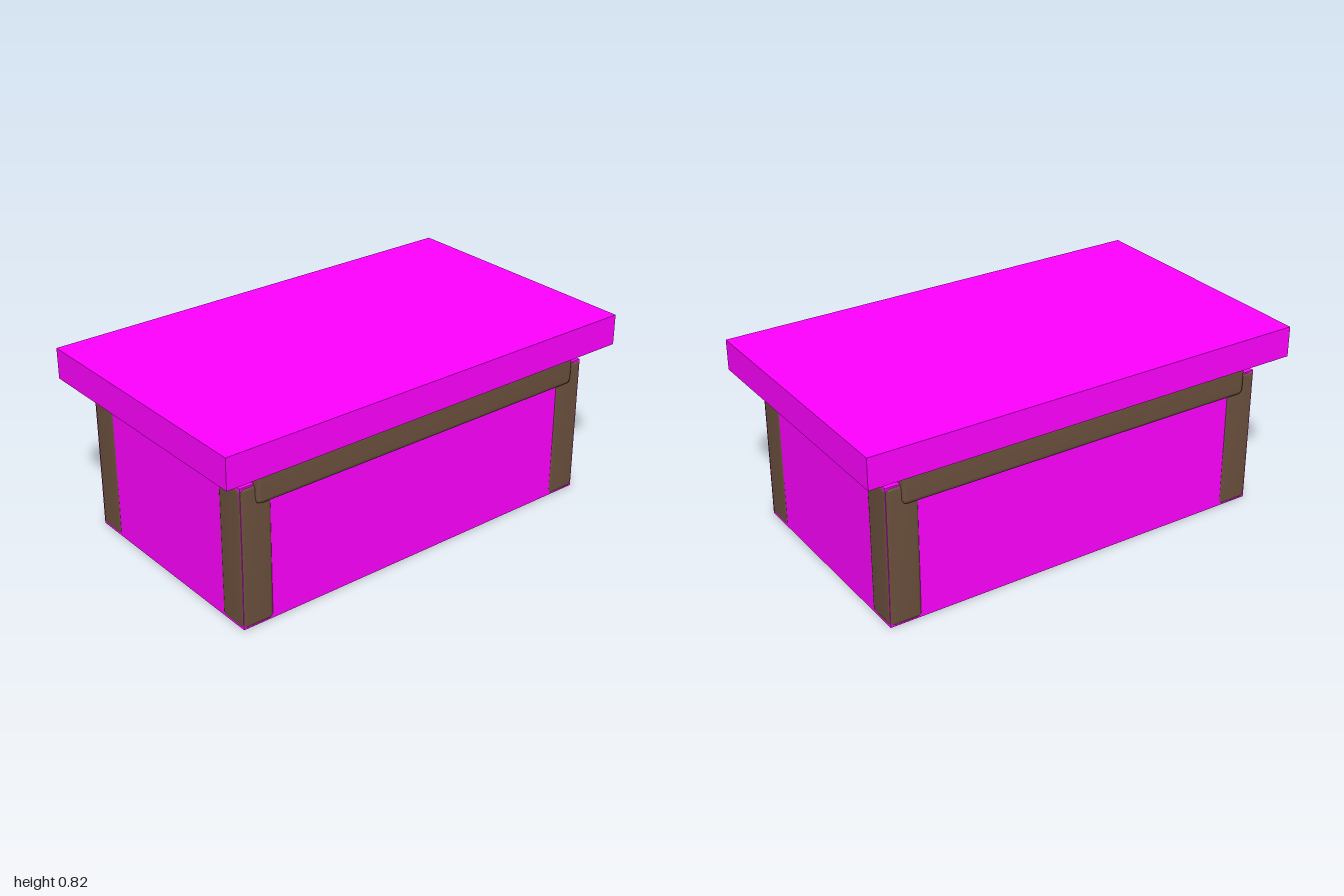
import * as THREE from 'three';
import { RoundedBoxGeometry } from 'three/addons/geometries/RoundedBoxGeometry.js';
import { mergeVertices } from 'three/addons/utils/BufferGeometryUtils.js';

const wood = new THREE.MeshStandardMaterial({ color: 0x6b503d });
const magenta = new THREE.MeshStandardMaterial({ color: 0xff00ff });

// Beveled timber with normals blended softly across its edges
function timberGeometry(w, h, d, bevel) {
  const source = new RoundedBoxGeometry(w, h, d, 1, bevel);
  source.deleteAttribute('normal');
  source.deleteAttribute('uv');
  const geometry = mergeVertices(source, 1e-4);
  geometry.computeVertexNormals();
  return geometry;
}

export function createModel() {
  const group = new THREE.Group();

  const add = (name, geometry, material, x, y, z) => {
    const mesh = new THREE.Mesh(geometry, material);
    mesh.name = name;
    mesh.position.set(x, y, z);
    group.add(mesh);
  };

  // Wooden tabletop inside its plain box shell
  add('tabletop', timberGeometry(1.998, 0.133, 1.178, 0.02), wood, 0, 0.7525, 0);
  add('tabletopShell', new THREE.BoxGeometry(2, 0.135, 1.18), magenta, 0, 0.7525, 0);

  // Plain box filling the space between the legs
  add('baseShell', new THREE.BoxGeometry(1.778, 0.618, 1.016), magenta, 0, 0.309, 0);

  // Four square legs standing just proud of the base
  const leg = timberGeometry(0.146, 0.616, 0.146, 0.018);
  for (const sx of [-1, 1]) {
    for (const sz of [-1, 1]) {
      const name = (sz > 0 ? 'front' : 'back') + (sx > 0 ? 'Left' : 'Right') + 'Leg';
      add(name, leg, wood, sx * 0.82, 0.309, sz * 0.44);
    }
  }

  // Apron rails running under the top, long pair then short pair
  const longRail = timberGeometry(1.65, 0.19, 0.1, 0.022);
  const shortRail = timberGeometry(0.1, 0.19, 0.87, 0.022);
  for (const s of [-1, 1]) {
    add(s > 0 ? 'frontRail' : 'backRail', longRail, wood, 0, 0.625, s * 0.481);
    add(s > 0 ? 'leftRail' : 'rightRail', shortRail, wood, s * 0.826, 0.625, 0);
  }

  return group;
}
